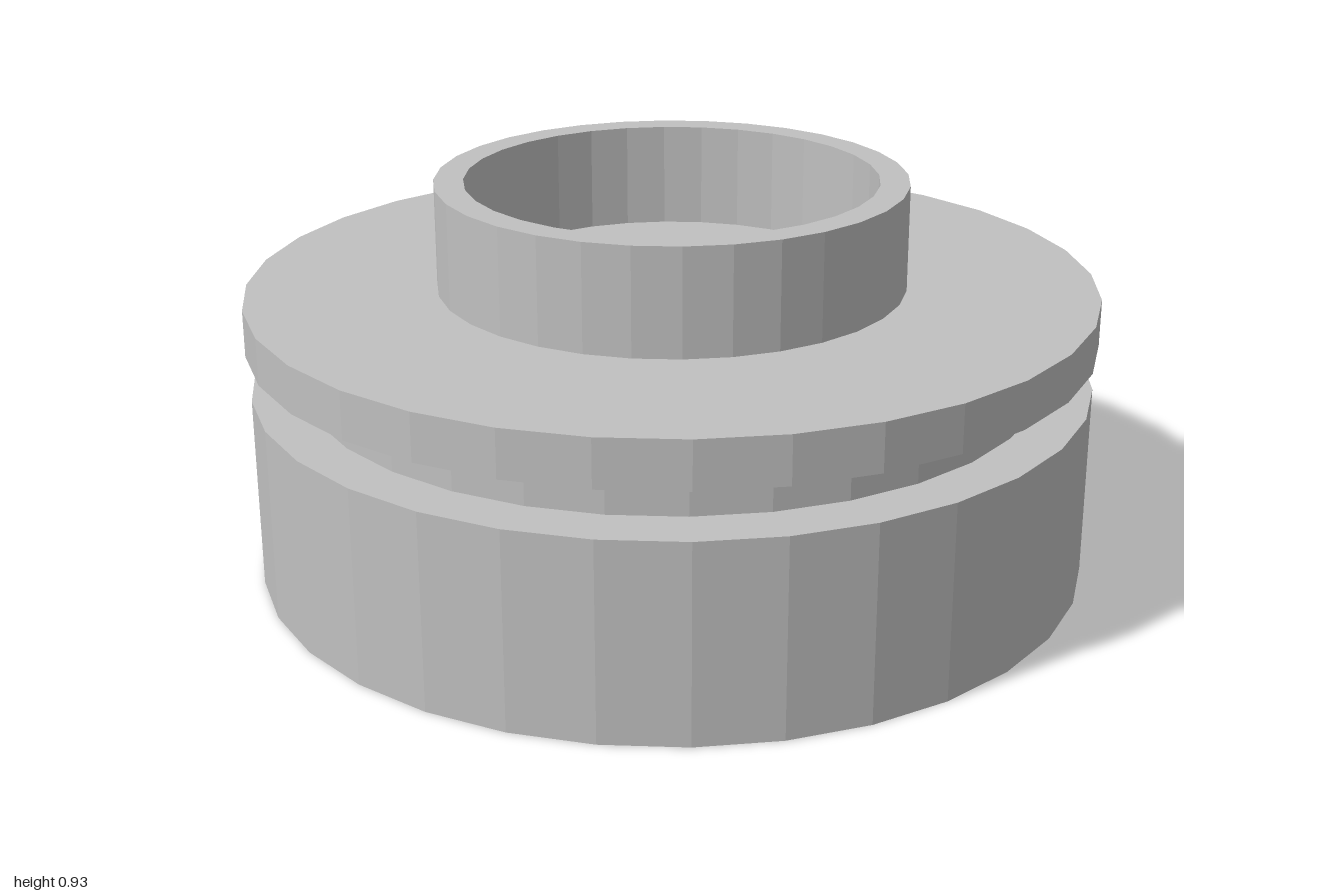
import * as THREE from 'three';

const SIDES = 32;

export function createModel() {
  const model = new THREE.Group();
  model.name = 'steppedCap';
  const grey = new THREE.MeshStandardMaterial({ color: 0xc0c0c0, flatShading: true });
  grey.name = 'grey';

  const add = (name, geometry) => {
    const mesh = new THREE.Mesh(geometry, grey);
    mesh.name = name;
    model.add(mesh);
  };
  const disc = (name, radius, bottom, top) =>
    add(name, new THREE.CylinderGeometry(radius, radius, top - bottom, SIDES)
      .translate(0, (bottom + top) / 2, 0));

  // Stacked solid discs: base, recessed neck and overhanging flange
  disc('base', 0.993, 0, 0.46);
  disc('neck', 0.873, 0.46, 0.57);
  disc('flange', 1, 0.57, 0.68);

  // Hollow collar standing on the flange, which forms its floor
  const profile = [[0.553, 0.68], [0.553, 0.93], [0.484, 0.93], [0.484, 0.68]]
    .map(([r, y]) => new THREE.Vector2(r, y));
  add('collar', new THREE.LatheGeometry(profile, SIDES));

  return model;
}
